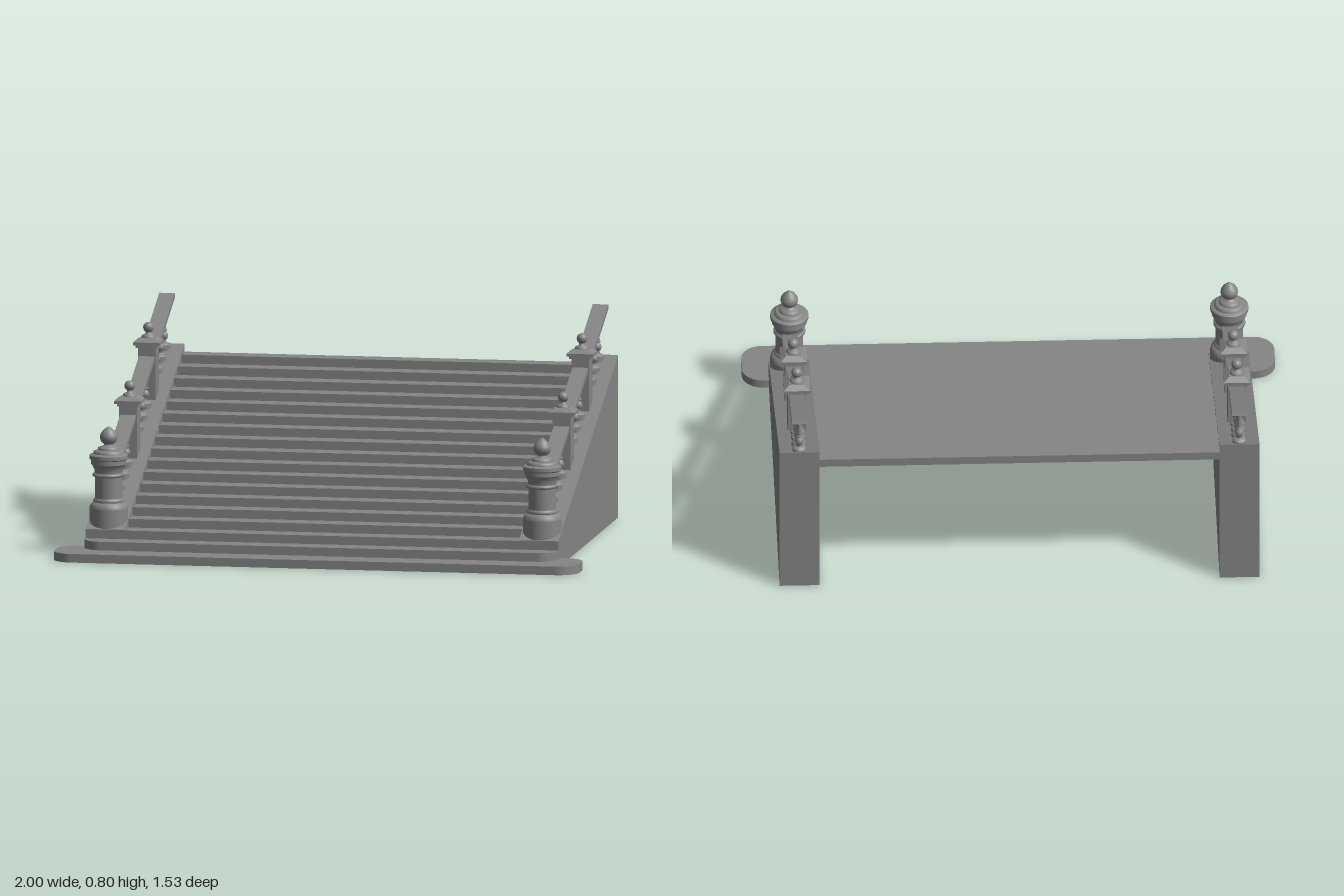
import * as THREE from 'three';

const mat = new THREE.MeshStandardMaterial({ color: 0x868686 });
const sheetMat = new THREE.MeshStandardMaterial({ color: 0x868686, side: THREE.DoubleSide });
const SLOPE = 0.4;
const WALL_FRONT = 0.575, WALL_BACK = -0.715;
const wallY = (z) => 0.1 + (WALL_FRONT - z) * SLOPE;      // top of the side wall
const railY = (z) => 0.305 + (0.45 - z) * 0.402;          // centre of the handrail

function add(parent, name, geometry, x = 0, y = 0, z = 0, material = mat) {
  const mesh = new THREE.Mesh(geometry, material);
  mesh.name = name;
  mesh.position.set(x, y, z);
  parent.add(mesh);
  return mesh;
}

// Lathe runs of [radius, y] pairs; each run is smooth, with a sharp edge between runs
function turned(parent, name, runs, segments) {
  for (const run of runs) {
    const pts = run.map(([r, y]) => new THREE.Vector2(r, y));
    add(parent, name, new THREE.LatheGeometry(pts, segments));
  }
}

// Flat slab with rounded front corners and optionally rounded back corners
function slab(halfW, front, back, r, rb, height) {
  const s = new THREE.Shape();
  s.moveTo(-halfW + r, -front);
  s.lineTo(halfW - r, -front);
  s.absarc(halfW - r, -front + r, r, -Math.PI / 2, 0, false);
  if (rb > 0) {
    s.absarc(halfW - rb, -back - rb, rb, 0, Math.PI / 2, false);
    s.absarc(-halfW + rb, -back - rb, rb, Math.PI / 2, Math.PI, false);
  } else {
    s.lineTo(halfW, -back);
    s.lineTo(-halfW, -back);
  }
  s.absarc(-halfW + r, -front + r, r, Math.PI, Math.PI * 1.5, false);
  const g = new THREE.ExtrudeGeometry(s, { depth: height, bevelEnabled: false, curveSegments: 10 });
  return g.rotateX(-Math.PI / 2);
}

// Sloping side wall: a hollow shell, open underneath
function sideWall() {
  const g = new THREE.Group();
  g.name = 'sideWall';
  const width = 0.15, frontH = wallY(WALL_FRONT), backH = wallY(WALL_BACK);
  const length = WALL_FRONT - WALL_BACK, midZ = (WALL_FRONT + WALL_BACK) / 2;
  const outline = new THREE.Shape([
    new THREE.Vector2(-0.55, 0), new THREE.Vector2(-WALL_BACK, 0),
    new THREE.Vector2(-WALL_BACK, backH), new THREE.Vector2(-WALL_FRONT, frontH),
    new THREE.Vector2(-WALL_FRONT, 0.033), new THREE.Vector2(-0.55, 0.033),
  ]);
  for (const x of [-width / 2, width / 2]) {
    add(g, 'wallSide', new THREE.ShapeGeometry(outline).rotateY(Math.PI / 2), x, 0, 0, sheetMat);
  }
  add(g, 'wallFront', new THREE.PlaneGeometry(width, frontH - 0.033), 0, (frontH + 0.033) / 2, WALL_FRONT, sheetMat);
  add(g, 'wallBack', new THREE.PlaneGeometry(width, backH).rotateY(Math.PI), 0, backH / 2, WALL_BACK, sheetMat);
  const top = new THREE.PlaneGeometry(width, Math.hypot(length, backH - frontH));
  top.rotateX(-Math.PI / 2 + Math.atan(SLOPE));
  add(g, 'wallTop', top, 0, (frontH + backH) / 2, midZ, sheetMat);
  return g;
}

function newel() {
  const g = new THREE.Group();
  g.name = 'newelPost';
  turned(g, 'newelTurning', [
    [[0.072, 0.1], [0.072, 0.172]],
    [[0.072, 0.172], [0.07, 0.182], [0.064, 0.19], [0.056, 0.195]],
    [[0.056, 0.195], [0.059, 0.2], [0.056, 0.206], [0.052, 0.21]],
    [[0.052, 0.21], [0.052, 0.29]],
    [[0.052, 0.29], [0.06, 0.293], [0.06, 0.301], [0.053, 0.305]],
    [[0.053, 0.305], [0.054, 0.318], [0.06, 0.332], [0.066, 0.338]],
    [[0.066, 0.338], [0.066, 0.354]],
    [[0.066, 0.354], [0.072, 0.358]],
    [[0.072, 0.358], [0.072, 0.372]],
    [[0.072, 0.372], [0.066, 0.376], [0.058, 0.378]],
    [[0.058, 0.378], [0.057, 0.386], [0.05, 0.39]],
    [[0.05, 0.39], [0.04, 0.392]],
    [[0.04, 0.392], [0.039, 0.401], [0.03, 0.404]],
    [[0.03, 0.404], [0.018, 0.409], [0.018, 0.414]],
    [[0.018, 0.414], [0.028, 0.422], [0.033, 0.436], [0.032, 0.448], [0.024, 0.462], [0.012, 0.473], [0, 0.48]],
  ], 32);
  return g;
}

function squarePost() {
  const g = new THREE.Group();
  g.name = 'squarePost';
  // y = 0 is the wall top at the post centre
  add(g, 'postShaft', new THREE.BoxGeometry(0.068, 0.23, 0.072), 0, 0.085, 0);
  add(g, 'postCollar', new THREE.BoxGeometry(0.082, 0.01, 0.086), 0, 0.188, 0);
  add(g, 'postCap', new THREE.BoxGeometry(0.1, 0.011, 0.1), 0, 0.1985, 0);
  const slope = new THREE.CylinderGeometry(0.04, 0.0707, 0.014, 4).toNonIndexed();
  slope.computeVertexNormals();
  add(g, 'postCapSlope', slope.rotateY(Math.PI / 4), 0, 0.211, 0);
  // Round neck and ball
  turned(g, 'postFinial', [
    [[0.026, 0.216], [0.026, 0.224], [0.02, 0.228]],
    [[0.02, 0.228], [0.011, 0.232], [0.011, 0.24]],
  ], 20);
  add(g, 'postBall', new THREE.SphereGeometry(0.02, 20, 14), 0, 0.256, 0);
  return g;
}

function baluster() {
  const g = new THREE.Group();
  g.name = 'baluster';
  // y = 0 is the wall top at the baluster centre
  turned(g, 'balusterTurning', [
    [[0.026, -0.015], [0.026, 0.014]],
    [[0.026, 0.014], [0.022, 0.02], [0.012, 0.024]],
    [[0.012, 0.024], [0.009, 0.03], [0.015, 0.038], [0.018, 0.047], [0.015, 0.057], [0.009, 0.064]],
    [[0.009, 0.064], [0.013, 0.067], [0.013, 0.071], [0.009, 0.074]],
    [[0.011, 0.074], [0.009, 0.095], [0.006, 0.125]],
    [[0.006, 0.125], [0.011, 0.128], [0.011, 0.132], [0.007, 0.135]],
    [[0.007, 0.135], [0.016, 0.143], [0.016, 0.154]],
  ], 16);
  return g;
}

export function createModel() {
  const model = new THREE.Group();
  model.name = 'staircase';

  // Steps: two wide rounded ones, then straight treads between the walls
  const rise = 0.0325, going = 0.081;
  add(model, 'bottomStep', slab(1, 0.765, 0.545, 0.08, 0.08, rise));
  add(model, 'secondStep', slab(0.9, 0.655, 0.545, 0.07, 0, rise), 0, rise, 0);
  for (let i = 2; i < 18; i++) {
    const front = 0.655 - (i - 1) * going;
    const back = Math.max(front - going - 0.015, -0.72);
    add(model, 'step', new THREE.BoxGeometry(1.5, rise, front - back), 0, (i + 0.5) * rise, (front + back) / 2);
  }

  // Both sides are alike
  for (const side of [1, -1]) {
    const half = new THREE.Group();
    half.name = side > 0 ? 'leftBalustrade' : 'rightBalustrade';
    half.position.x = side * 0.825;
    model.add(half);
    half.add(sideWall());

    // Posts
    const n = newel();
    n.position.z = 0.5;
    half.add(n);
    for (const z of [0.047, -0.358]) {
      const p = squarePost();
      p.position.set(0, wallY(z), z);
      half.add(p);
    }

    // Three groups of four balusters
    for (const start of [0.372, -0.033, -0.438]) {
      for (let i = 0; i < 4; i++) {
        const z = start - i * 0.081;
        const b = baluster();
        b.position.set(0, wallY(z), z);
        half.add(b);
      }
    }

    // Handrail
    const z0 = 0.46, z1 = -0.762;
    const dy = railY(z1) - railY(z0);
    const rail = add(half, 'handrail', new THREE.BoxGeometry(0.06, 0.016, Math.hypot(z0 - z1, dy)),
      0, (railY(z0) + railY(z1)) / 2, (z0 + z1) / 2);
    rail.rotation.x = Math.atan2(dy, z0 - z1);
  }
  return model;
}
